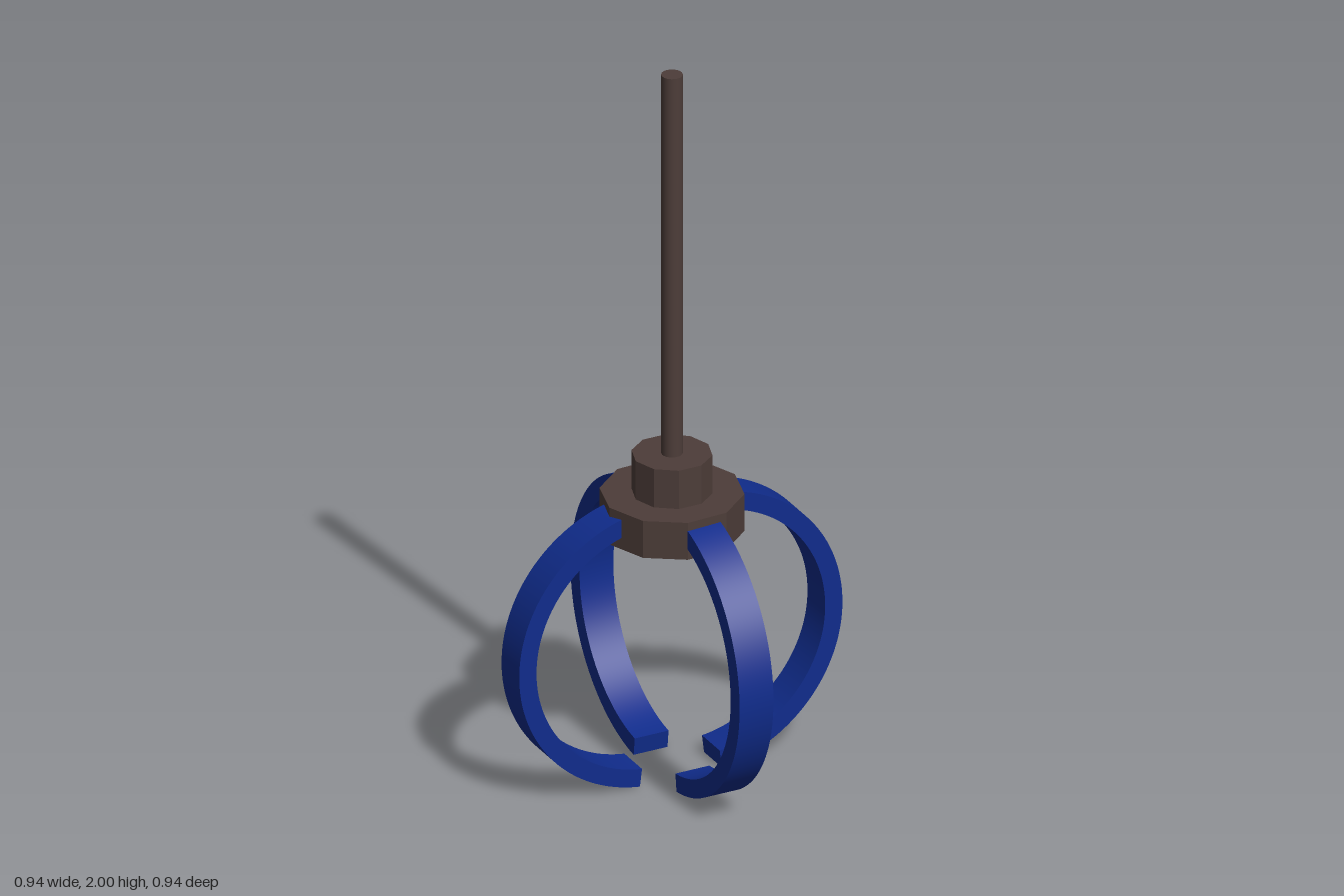
import * as THREE from 'three';
import { toCreasedNormals } from 'three/addons/utils/BufferGeometryUtils.js';

const rad = THREE.MathUtils.degToRad;

export function createModel() {
  const model = new THREE.Group();
  model.name = 'grabberClaw';
  const brown = new THREE.MeshStandardMaterial({ color: 0x4d3d39 });
  const brownFlat = new THREE.MeshStandardMaterial({ color: 0x4d3d39, flatShading: true });
  const blue = new THREE.MeshStandardMaterial({ color: 0x102c8c });

  // Upright cylinder between two heights
  const post = (name, radius, y0, y1, sides, turn, material) => {
    const geometry = new THREE.CylinderGeometry(radius, radius, y1 - y0, sides, 1, false, rad(turn));
    const mesh = new THREE.Mesh(geometry, material);
    mesh.position.y = (y0 + y1) / 2;
    mesh.name = name;
    model.add(mesh);
  };

  // Rod and the two ten-sided hub steps
  post('rod', 0.028, 0.8, 2, 24, 0, brown);
  post('collar', 0.105, 0.8, 0.912, 10, 90, brownFlat);
  post('hub', 0.187, 0.696, 0.802, 10, 93, brownFlat);

  // Curved finger: a flat band bent along an arc, stopping just short of the middle
  const outer = 0.398, inner = 0.348, start = rad(-83), end = rad(90), width = 0.098;
  const band = new THREE.Shape();
  band.absarc(0.07, 0.396, outer, start, end, false);
  band.absarc(0.07, 0.396, inner, end, start, true);
  band.closePath();
  const extruded = new THREE.ExtrudeGeometry(band, { depth: width, bevelEnabled: false, curveSegments: 40 });
  extruded.translate(0, 0, -width / 2);
  const fingerGeometry = toCreasedNormals(extruded, rad(30));

  // Four fingers around the hub
  ['left', 'back', 'right', 'front'].forEach((side, i) => {
    const finger = new THREE.Mesh(fingerGeometry, blue);
    finger.name = side + 'Finger';
    finger.rotation.y = i * Math.PI / 2;
    model.add(finger);
  });

  return model;
}
